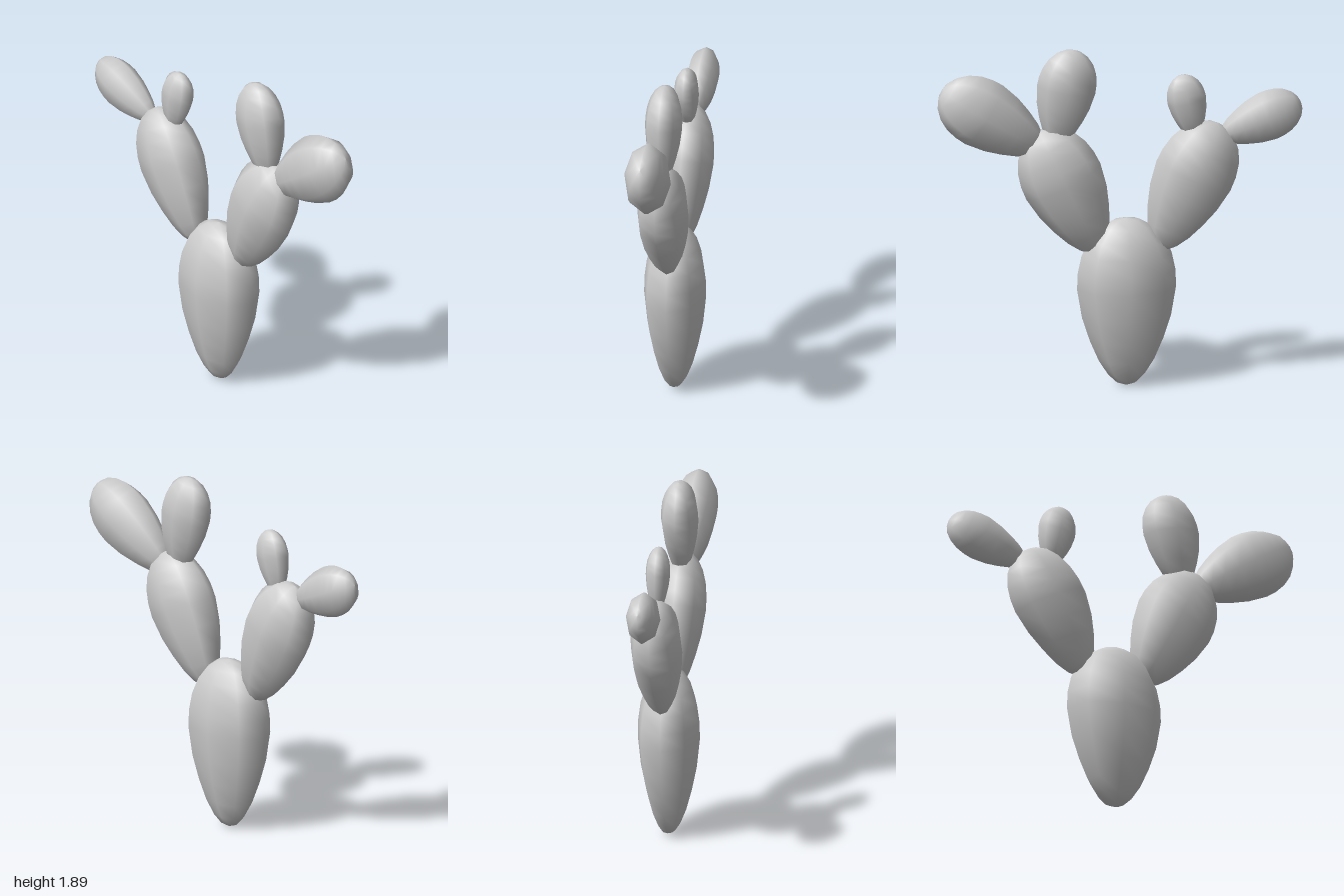
import * as THREE from 'three';

// Egg-shaped pad profile: [radius, height], both relative to 1
const PROFILE = [
  [0, 0], [0.2, 0.018], [0.37, 0.065], [0.56, 0.15], [0.74, 0.27], [0.9, 0.41],
  [1, 0.58], [0.985, 0.68], [0.91, 0.78], [0.76, 0.87], [0.53, 0.945], [0.27, 0.987], [0, 1],
].map(([r, h]) => new THREE.Vector2(r, h));

const FLATNESS = 0.63; // depth of a pad relative to its width

// name, base x, base y, tip x, tip y, half width
const PADS = [
  ['trunkPad', -0.04, 0, -0.04, 0.94, 0.27],
  ['rightBranchPad', -0.217, 0.754, -0.54, 1.447, 0.222],
  ['leftBranchPad', 0.117, 0.754, 0.44, 1.447, 0.222],
  ['rightOuterPad', -0.55, 1.37, -0.99, 1.545, 0.14],
  ['rightInnerPad', -0.41, 1.37, -0.34, 1.725, 0.106],
  ['leftInnerPad', 0.345, 1.36, 0.25, 1.893, 0.162],
  ['leftOuterPad', 0.42, 1.345, 0.965, 1.70, 0.19],
];

export function createModel() {
  const cactus = new THREE.Group();
  cactus.name = 'pricklyPearCactus';
  const material = new THREE.MeshStandardMaterial({ color: 0xcccccc });
  const geometry = new THREE.LatheGeometry(PROFILE, 8);

  // Each pad is the same flattened egg, stretched from its base to its tip
  for (const [name, x0, y0, x1, y1, radius] of PADS) {
    const pad = new THREE.Mesh(geometry, material);
    pad.name = name;
    pad.position.set(x0, y0, 0);
    pad.rotation.z = Math.atan2(x0 - x1, y1 - y0);
    pad.scale.set(radius, Math.hypot(x1 - x0, y1 - y0), radius * FLATNESS);
    cactus.add(pad);
  }
  return cactus;
}
